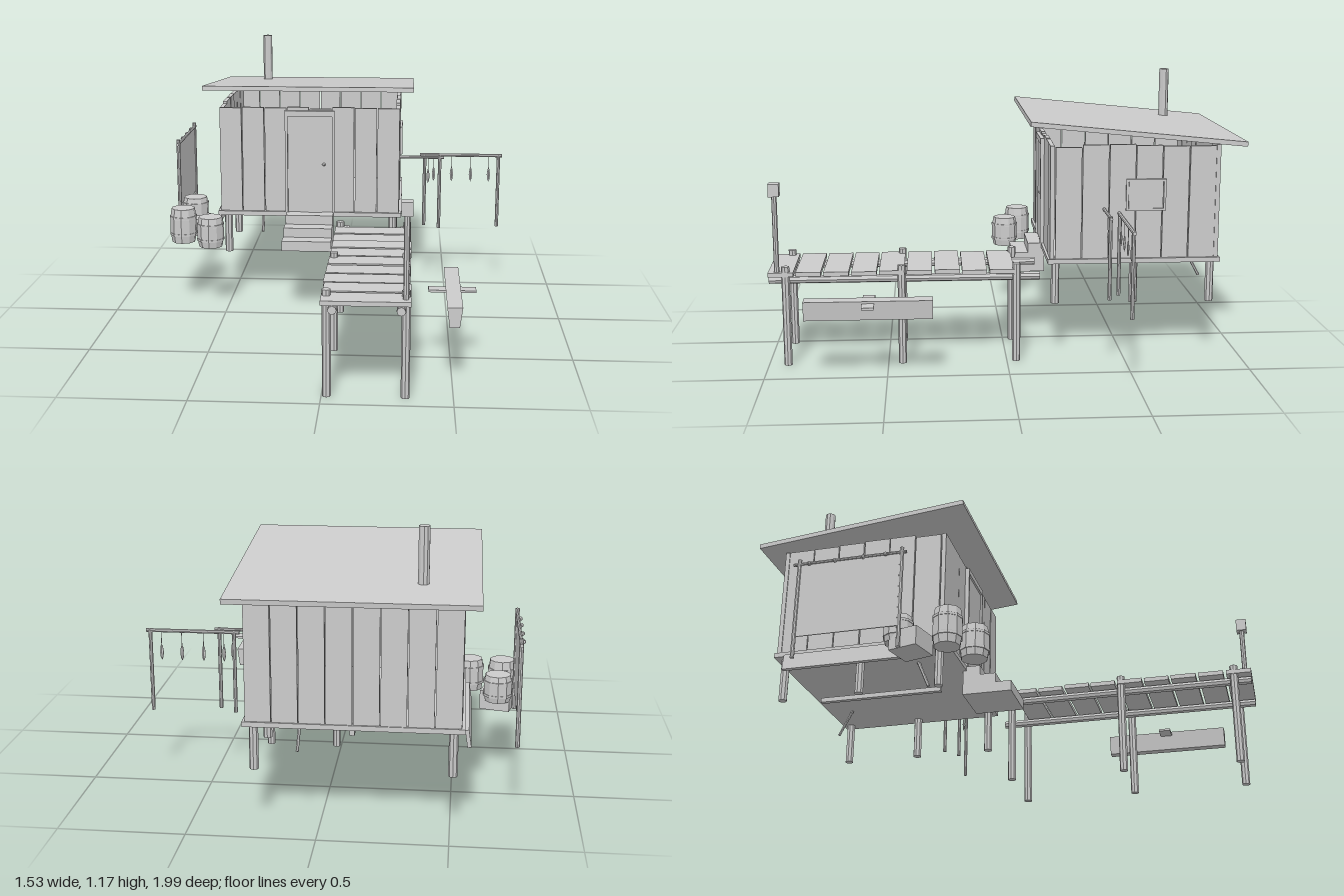
import * as THREE from 'three';

const mat = new THREE.MeshStandardMaterial({ color: 0xcccccc, flatShading: true });

// repeatable small variation in -1..1
const vary = (i) => {
  const s = Math.sin(i * 12.9898 + 4.1) * 43758.5453;
  return (s - Math.floor(s)) * 2 - 1;
};

export function createModel() {
  const root = new THREE.Group();

  const add = (parent, name, geo, x = 0, y = 0, z = 0) => {
    const m = new THREE.Mesh(geo, mat);
    m.name = name;
    m.position.set(x, y, z);
    parent.add(m);
    return m;
  };
  const group = (name) => {
    const g = new THREE.Group();
    g.name = name;
    root.add(g);
    return g;
  };
  // box given by its limits
  const span = (p, name, x0, x1, y0, y1, z0, z1) =>
    add(p, name, new THREE.BoxGeometry(x1 - x0, y1 - y0, z1 - z0), (x0 + x1) / 2, (y0 + y1) / 2, (z0 + z1) / 2);
  // round pole between two points
  const pole = (p, name, a, b, r, sides = 8) => {
    const A = new THREE.Vector3(...a), B = new THREE.Vector3(...b);
    const d = B.clone().sub(A);
    const m = add(p, name, new THREE.CylinderGeometry(r, r, d.length(), sides));
    m.position.copy(A).add(B).multiplyScalar(0.5);
    m.quaternion.setFromUnitVectors(new THREE.Vector3(0, 1, 0), d.normalize());
    return m;
  };

  // Hut: floor, stilts and braces
  const base = group('hutBase');
  span(base, 'floor', -0.55, 0.29, 0.41, 0.43, -0.91, -0.175);
  for (const x of [-0.508, 0.25])
    for (const z of [-0.21, -0.545, -0.875])
      pole(base, 'stilt', [x, 0.23, z], [x, 0.42, z], 0.018);
  pole(base, 'brace', [0.08, 0.42, -0.8], [0.085, 0.3, -0.865], 0.006, 6);
  pole(base, 'brace', [-0.36, 0.42, -0.35], [-0.36, 0.3, -0.3], 0.007, 6);
  span(base, 'underfloorBeam', -0.135, -0.115, 0.375, 0.395, -0.87, -0.32);
  const board = span(base, 'leaningBoard', -0.57, -0.555, 0.34, 0.41, -0.86, -0.3);
  board.rotation.z = -0.15;

  // Walls of vertical boards with uneven tops
  const walls = group('walls');
  const wall = (count, from, to, place) => {
    const w = (to - from) / count;
    for (let i = 0; i < count; i++) {
      const h = 0.483 + 0.006 * vary(i + count * 7 + from * 10);
      place(from + w * (i + 0.5), w - 0.004, h, 0.002 * vary(i + 31));
    }
  };
  const flat = (z) => (c, w, h, o) =>
    add(walls, 'wallBoard', new THREE.BoxGeometry(w, h, 0.018), c, 0.428 + h / 2, z + o);
  const side = (x) => (c, w, h, o) =>
    add(walls, 'wallBoard', new THREE.BoxGeometry(0.018, h, w), x + o, 0.428 + h / 2, c);
  wall(8, -0.54, 0.28, flat(-0.195));
  wall(8, -0.54, 0.28, flat(-0.895));
  wall(6, -0.885, -0.205, side(0.271));
  wall(6, -0.885, -0.205, side(-0.531));

  // Door and window
  const door = group('door');
  span(door, 'doorPanel', -0.225, -0.025, 0.43, 0.875, -0.19, -0.178);
  span(door, 'doorLintel', -0.24, -0.015, 0.875, 0.9, -0.19, -0.17);
  for (const x of [-0.24, -0.027]) span(door, 'doorJamb', x, x + 0.012, 0.43, 0.875, -0.19, -0.17);
  add(door, 'doorKnob', new THREE.SphereGeometry(0.008, 8, 6), -0.063, 0.655, -0.171);
  const win = group('window');
  span(win, 'windowPane', 0.27, 0.286, 0.645, 0.76, -0.66, -0.515);
  for (const y of [0.635, 0.76]) span(win, 'windowRail', 0.27, 0.29, y, y + 0.01, -0.672, -0.503);
  for (const z of [-0.672, -0.513]) span(win, 'windowStile', 0.27, 0.29, 0.635, 0.77, z, z + 0.01);

  // Sloping roof and chimney
  const roof = add(root, 'roof', new THREE.BoxGeometry(0.94, 0.02, 0.907), -0.13, 0.966, -0.548);
  roof.rotation.x = -Math.atan2(0.09, 0.9);
  pole(root, 'chimney', [-0.382, 0.9, -0.78], [-0.382, 1.17, -0.78], 0.022, 10);

  // Front steps
  const steps = group('steps');
  for (let i = 0; i < 3; i++)
    span(steps, 'step', -0.24 + 0.003 * i, -0.02, 0.3, 0.345 + 0.042 * i, -0.19, 0.02 - 0.068 * i);

  // Jetty
  const jetty = group('jetty');
  for (const x of [0.045, 0.3]) pole(jetty, 'stringer', [x, 0.365, -0.14], [x, 0.365, 0.99], 0.017);
  for (let i = 0; i < 9; i++) {
    const p = add(jetty, 'jettyPlank', new THREE.BoxGeometry(0.335, 0.018, 0.104), 0.167 + 0.003 * vary(i), 0.394 + 0.003 * vary(i + 5), 0.02 + 0.115 * i);
    p.rotation.y = 0.008 * vary(i + 17);
  }
  for (const x of [0.02, 0.318])
    for (const z of [-0.04, 0.44, 0.92]) pole(jetty, 'jettyPost', [x, 0, z], [x, 0.425, z], 0.017);

  // Lamp at the jetty end
  const lamp = group('lamp');
  pole(lamp, 'lampPost', [0.317, 0.39, 0.955], [0.317, 0.73, 0.955], 0.011);
  span(lamp, 'lantern', 0.295, 0.338, 0.722, 0.775, 0.933, 0.977);

  // Small boat with a cross seat
  const boat = group('boat');
  const hull = new THREE.BoxGeometry(0.06, 0.08, 0.52);
  const hp = hull.attributes.position;
  for (let i = 0; i < hp.count; i++) if (hp.getY(i) < 0) hp.setX(i, hp.getX(i) * 0.65);
  hull.computeVertexNormals();
  add(boat, 'hull', hull, 0.503, 0.29, 0.572);
  span(boat, 'crossBoard', 0.405, 0.595, 0.312, 0.321, 0.547, 0.597);

  // Fish drying racks
  const racks = group('dryingRacks');
  pole(racks, 'rackBar', [0.375, 0.645, -0.46], [0.762, 0.645, -0.46], 0.008);
  pole(racks, 'rackBar', [0.275, 0.643, -0.412], [0.487, 0.643, -0.412], 0.007);
  for (const [x, z] of [[0.397, -0.46], [0.745, -0.46], [0.467, -0.412]])
    pole(racks, 'rackPost', [x, 0.3, z], [x, 0.65, z], 0.008);
  const fishProfile = [[0, -0.035], [0.006, -0.022], [0.009, 0], [0.005, 0.025], [0, 0.035]]
    .map(([r, y]) => new THREE.Vector2(r, y));
  for (const [x, z] of [[0.413, -0.412], [0.44, -0.46], [0.525, -0.46], [0.615, -0.46], [0.7, -0.46]]) {
    add(racks, 'fish', new THREE.LatheGeometry(fishProfile, 6), x, 0.553, z).scale.z = 0.6;
    pole(racks, 'fishString', [x, 0.58, z], [x, 0.64, z], 0.0015, 4);
  }

  // Net hung on a frame beside the hut
  const net = group('netFrame');
  for (const z of [-0.3, -0.735]) pole(net, 'netPost', [-0.752, 0.3, z], [-0.752, 0.735, z], 0.009);
  pole(net, 'netBar', [-0.752, 0.715, -0.76], [-0.752, 0.715, -0.28], 0.007);
  span(net, 'net', -0.754, -0.75, 0.39, 0.71, -0.73, -0.305);
  for (const z of [-0.69, -0.58, -0.46, -0.365])
    add(net, 'netFloat', new THREE.SphereGeometry(0.009, 8, 6), -0.762, 0.71, z);

  // Barrels and crate
  const stores = group('stores');
  for (const [x, z, y0, y1] of [[-0.568, -0.046, 0.3, 0.436], [-0.704, -0.117, 0.3, 0.457], [-0.682, -0.325, 0.345, 0.458]]) {
    const h = y1 - y0;
    const profile = [[0, 0], [0.053, 0], [0.06, h * 0.3], [0.06, h * 0.7], [0.053, h], [0, h]]
      .map(([r, y]) => new THREE.Vector2(r, y));
    add(stores, 'barrel', new THREE.LatheGeometry(profile, 10), x, y0, z);
    for (const t of [0.25, 0.75])
      add(stores, 'barrelHoop', new THREE.CylinderGeometry(0.062, 0.062, 0.01, 10), x, y0 + h * t, z);
  }
  add(stores, 'crate', new THREE.BoxGeometry(0.125, 0.08, 0.125), -0.685, 0.34, -0.27).rotation.y = -0.25;

  return root;
}
